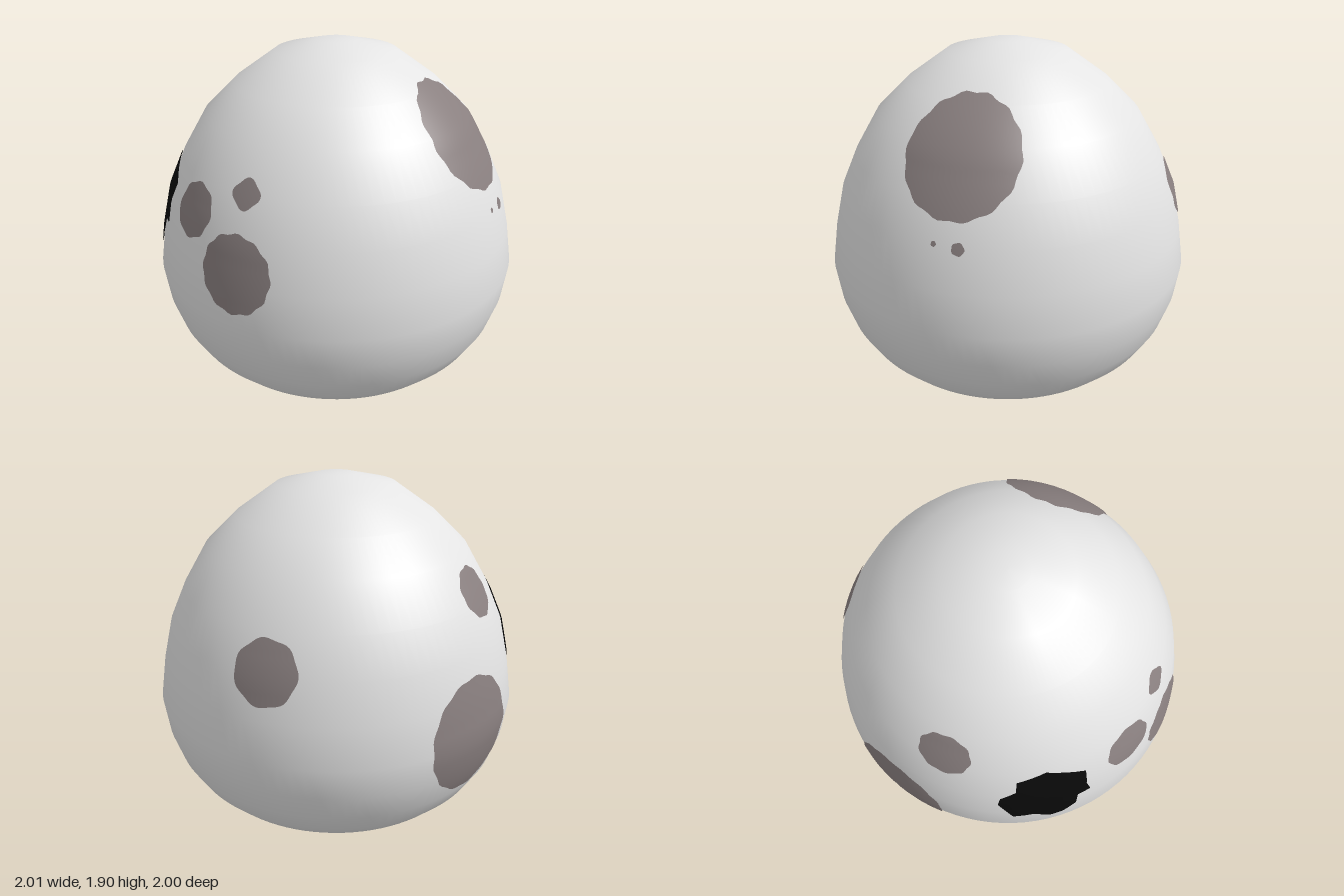
import * as THREE from 'three';

// Egg outline as [radius, height], bottom to top
const PROFILE = [
  [0, 0], [0.66, 0.1], [0.775, 0.18], [0.86, 0.27], [0.93, 0.39], [0.978, 0.54], [1, 0.71],
  [0.967, 0.915], [0.915, 1.13], [0.83, 1.32], [0.705, 1.53], [0.54, 1.69], [0.32, 1.845],
  [0.105, 1.895], [0, 1.896],
];

const material = (name, color, side = THREE.FrontSide) => {
  const m = new THREE.MeshStandardMaterial({ color, side });
  m.name = name;
  return m;
};

// Shell radius at a height
function radiusAt(y) {
  for (let i = 1; i < PROFILE.length; i++) {
    const [r0, y0] = PROFILE[i - 1], [r1, y1] = PROFILE[i];
    if (y <= y1) return r0 + (r1 - r0) * (y - y0) / (y1 - y0);
  }
  return 0;
}
const slopeAt = (y) => (radiusAt(y + 0.08) - radiusAt(y - 0.08)) / 0.16;

// Thin patch following the shell: an outline filled with rings round its centre.
// toShell turns flat (u, v) into [angle, height]; the outline runs counterclockwise.
function patch(name, mat, outline, toShell, rings) {
  const n = outline.length, pos = [], nor = [], idx = [];
  const add = (u, v) => {
    const [a, y] = toShell(u, v), r = radiusAt(y) + 0.007;
    pos.push(r * Math.sin(a), y, r * Math.cos(a));
    const normal = new THREE.Vector3(Math.sin(a), -slopeAt(y), Math.cos(a)).normalize();
    nor.push(normal.x, normal.y, normal.z);
  };
  add(0, 0);
  for (let k = 1; k <= rings; k++) for (const [u, v] of outline) add(u * k / rings, v * k / rings);
  for (let i = 0; i < n; i++) {
    const j = (i + 1) % n;
    idx.push(0, 1 + i, 1 + j);
    for (let k = 1; k < rings; k++) {
      const a = 1 + (k - 1) * n + i, b = 1 + (k - 1) * n + j;
      idx.push(a, a + n, b + n, a, b + n, b);
    }
  }
  const geo = new THREE.BufferGeometry();
  geo.setAttribute('position', new THREE.Float32BufferAttribute(pos, 3));
  geo.setAttribute('normal', new THREE.Float32BufferAttribute(nor, 3));
  geo.setIndex(idx);
  const mesh = new THREE.Mesh(geo, mat);
  mesh.name = name;
  return mesh;
}

// Round speckle with a slightly ragged edge
function speckle(name, mat, angle, height, size, lobes = 11, wobble = 0.025) {
  const outline = [];
  for (let i = 0; i < 64; i++) {
    const t = i / 64 * Math.PI * 2, r = size * (1 + wobble * Math.cos(lobes * t));
    outline.push([r * Math.cos(t), r * Math.sin(t)]);
  }
  const slope = slopeAt(height), len = Math.hypot(1, slope), r0 = radiusAt(height);
  const toShell = (u, v) => [angle + Math.atan2(u, r0 + v * slope / len), height + v / len];
  return patch(name, mat, outline, toShell, 10);
}

export function createModel() {
  const group = new THREE.Group();
  group.name = 'speckledEgg';
  const shellMat = material('shellWhite', 0xe4e4e4);
  const spotMat = material('speckleGrey', 0x8a8080);
  const holeMat = material('holeBlack', 0x0a0a0a, THREE.DoubleSide);

  // Shell
  const shell = new THREE.Mesh(
    new THREE.LatheGeometry(PROFILE.map(([r, y]) => new THREE.Vector2(r, y)), 96), shellMat);
  shell.name = 'shell';
  group.add(shell);

  // Speckles: name, angle round the egg from the front, height, size, lobes, raggedness
  const speckles = [
    ['frontSpeckle', 0.017, 1.18, 0.141, 8, 0.03],
    ['frontLargeSpeckle', 0.381, 0.965, 0.197, 12, 0.025],
    ['frontSmallSpeckle', 0.383, 1.33, 0.073, 4, 0.09],
    ['rightUpperSpeckle', -1.149, 1.375, 0.137, 9, 0.03],
    ['rightLargeSpeckle', -1.43, 0.725, 0.308, 13, 0.015],
    ['backSpeckle', -2.574, 1.14, 0.162, 7, 0.03],
    ['leftLargeSpeckle', 2.0, 1.485, 0.305, 14, 0.02],
    ['leftSmallSpeckle', 2.06, 1.125, 0.031, 5, 0.05],
    ['leftTinySpeckle', 1.93, 1.135, 0.013, 5, 0.05],
  ];
  for (const [name, ...rest] of speckles) group.add(speckle(name, spotMat, ...rest));

  // Broken hole: jagged outline in front elevation, with each edge subdivided
  const cx = -0.46, cy = 1.06;
  const corners = [
    [-0.418, 1.318], [-0.552, 1.264], [-0.578, 1.184], [-0.653, 1.13], [-0.675, 1.05],
    [-0.643, 0.873], [-0.552, 0.89], [-0.487, 0.81], [-0.418, 0.82], [-0.348, 0.89],
    [-0.327, 1.0], [-0.257, 1.01], [-0.27, 1.11], [-0.25, 1.22],
  ];
  const edge = [];
  corners.forEach(([x, y], i) => {
    const [x2, y2] = corners[(i + 1) % corners.length];
    for (let k = 0; k < 4; k++) edge.push([x + (x2 - x) * k / 4 - cx, y + (y2 - y) * k / 4 - cy]);
  });
  const onFront = (u, v) => [Math.asin((cx + u) / radiusAt(cy + v)), cy + v];
  group.add(patch('brokenHole', holeMat, edge, onFront, 10));

  return group;
}
